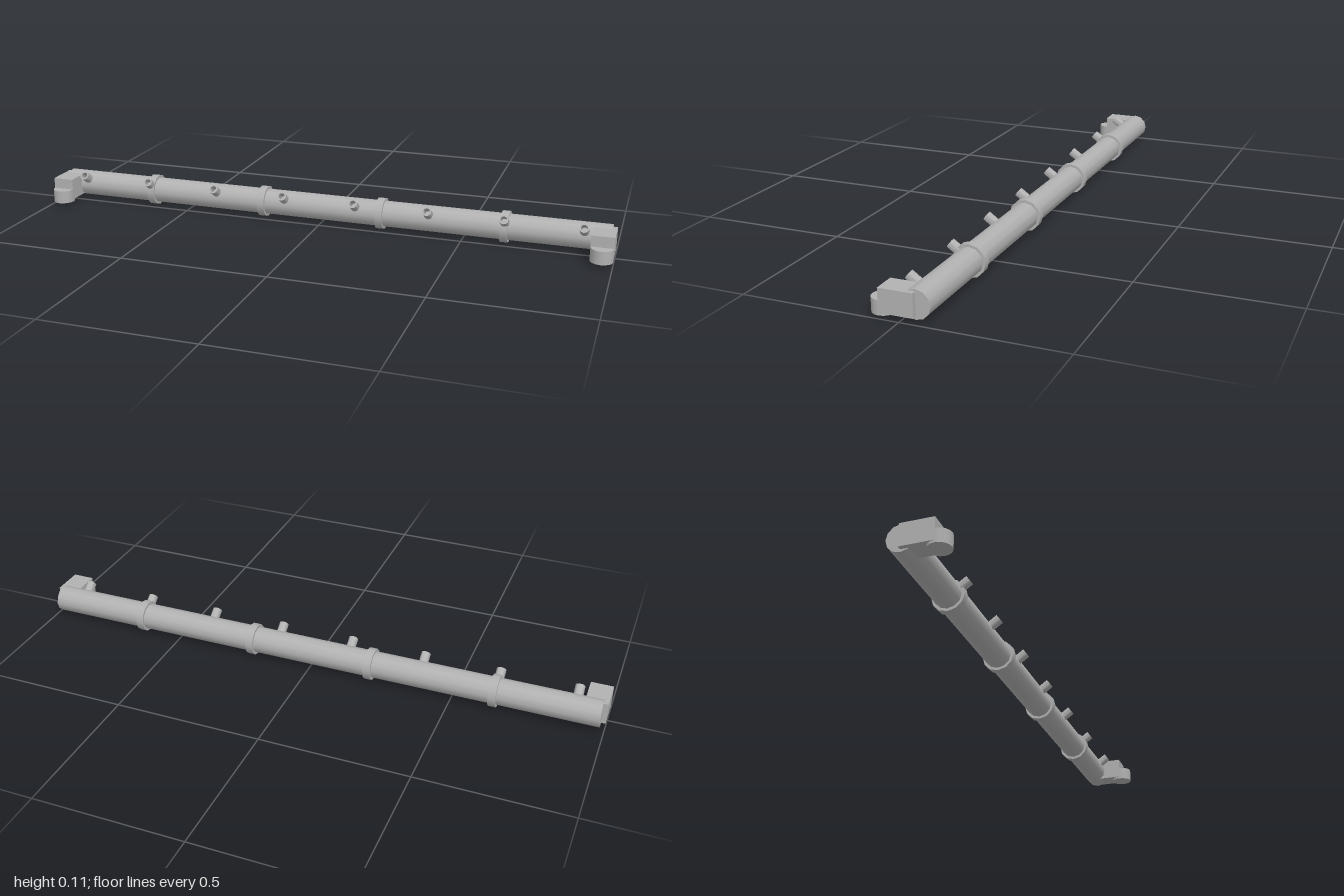
import * as THREE from 'three';
import { toCreasedNormals } from 'three/addons/utils/BufferGeometryUtils.js';

const AXIS_Y = 0.054, AXIS_Z = -0.045, SIDES = 12;

export function createModel() {
  const model = new THREE.Group();
  model.name = 'sprayBar';
  const grey = new THREE.MeshStandardMaterial({ color: 0xb2b2b2 });
  grey.name = 'grey';

  const add = (name, geometry, x, y, z) => {
    const mesh = new THREE.Mesh(geometry, grey);
    mesh.name = name;
    mesh.position.set(x, y, z);
    model.add(mesh);
    return mesh;
  };

  // Main pipe along x
  const pipe = new THREE.CylinderGeometry(0.045, 0.045, 1.97, SIDES).rotateZ(Math.PI / 2);
  add('mainPipe', pipe, 0, AXIS_Y, AXIS_Z);

  // Collars around the pipe
  const collar = new THREE.CylinderGeometry(0.054, 0.054, 0.026, SIDES).rotateZ(Math.PI / 2);
  for (const x of [-0.64, -0.214, 0.214, 0.64]) add('collar', collar, x, AXIS_Y, AXIS_Z);

  // Hollow nozzles, pointing radially forward and up
  const profile = [[0.016, 0.03], [0.016, 0.078], [0.011, 0.078], [0.011, 0.046], [0, 0.046]]
    .map(([r, h]) => new THREE.Vector2(r, h));
  const nozzle = toCreasedNormals(new THREE.LatheGeometry(profile, SIDES), 0.7);
  nozzle.rotateX(THREE.MathUtils.degToRad(55));
  for (let i = 0; i < 8; i++) add('nozzle', nozzle, (i - 3.5) * 0.257, AXIS_Y, AXIS_Z);

  // End elbows: a block reaching forward and a round downward outlet
  const block = new THREE.BoxGeometry(0.074, 0.074, 0.107);
  const outlet = new THREE.CylinderGeometry(0.037, 0.037, 0.045, 16);
  for (const side of [-1, 1]) {
    add('elbowBlock', block, side * 0.963, 0.055, 0.0085);
    add('elbowOutlet', outlet, side * 0.963, 0.0325, 0.0625);
  }
  return model;
}
